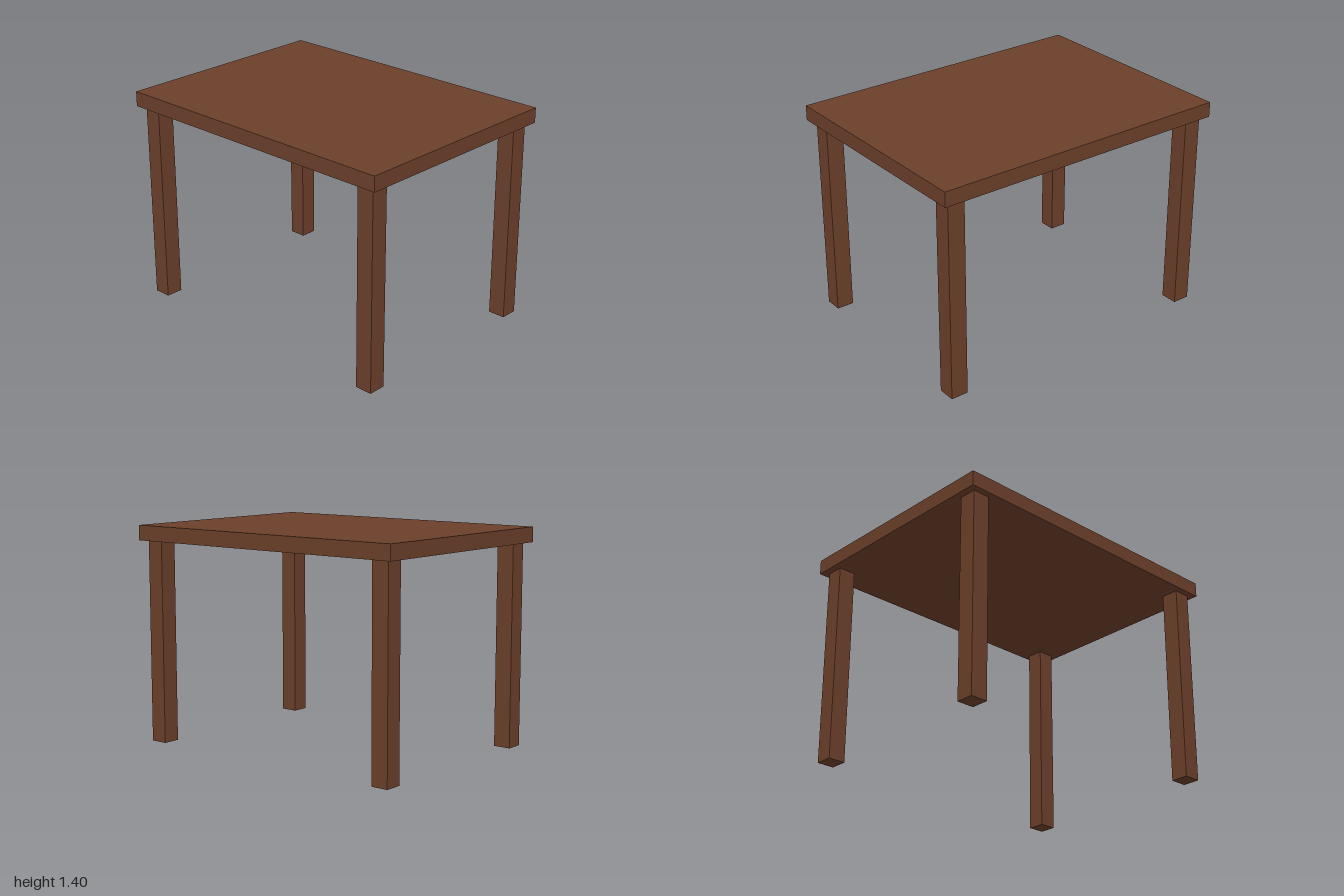
import * as THREE from 'three';

const HEIGHT = 1.4;
const TOP_THICKNESS = 0.097;
const LEG_HEIGHT = HEIGHT - TOP_THICKNESS;
const LEG_WIDTH = 0.114;

export function createModel() {
  const table = new THREE.Group();
  table.name = 'table';
  const wood = new THREE.MeshStandardMaterial({ color: 0x6b3f2a });

  // Flat slab top
  const top = new THREE.Mesh(new THREE.BoxGeometry(2, TOP_THICKNESS, 1.474), wood);
  top.name = 'tableTop';
  top.position.y = HEIGHT - TOP_THICKNESS / 2;
  table.add(top);

  // Four square legs, set in slightly from the corners
  const legGeometry = new THREE.BoxGeometry(LEG_WIDTH, LEG_HEIGHT, LEG_WIDTH);
  for (const [xName, x] of [['Left', 1], ['Right', -1]]) {
    for (const [zName, z] of [['front', 1], ['back', -1]]) {
      const leg = new THREE.Mesh(legGeometry, wood);
      leg.name = `${zName}${xName}Leg`;
      leg.position.set(x * 0.898, LEG_HEIGHT / 2, z * 0.639);
      table.add(leg);
    }
  }

  return table;
}
